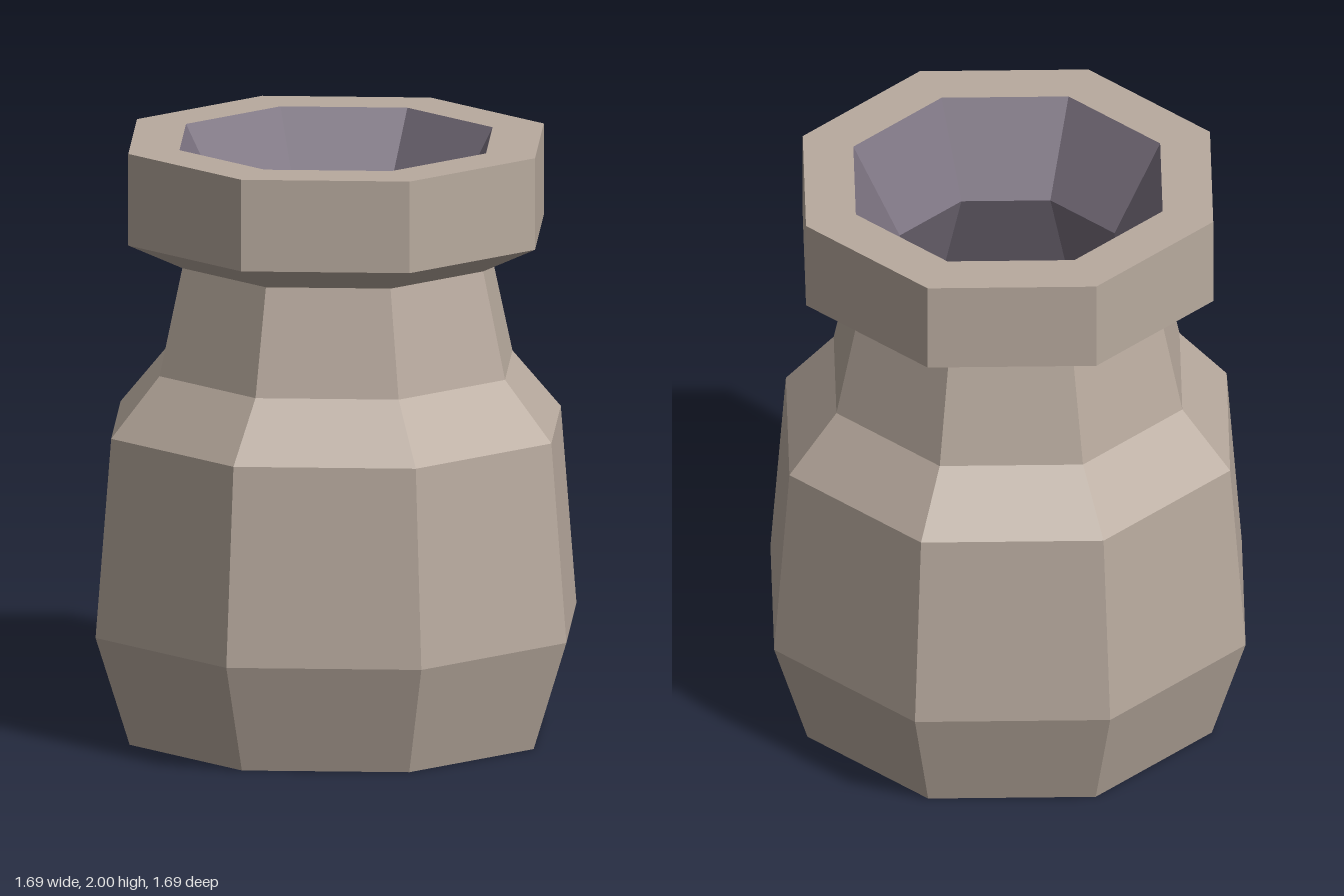
import * as THREE from 'three';

// Eight-sided ring surface from [radius, height] pairs
function ringSurface(name, profile, material) {
  const points = profile.map(([r, y]) => new THREE.Vector2(r, y));
  const mesh = new THREE.Mesh(new THREE.LatheGeometry(points, 8), material);
  mesh.name = name;
  return mesh;
}

export function createModel() {
  const clay = new THREE.MeshStandardMaterial({ color: 0xb8aa9e });
  const interior = new THREE.MeshStandardMaterial({ color: 0x7b7280 });
  clay.name = 'clay';
  interior.name = 'darkInterior';
  clay.flatShading = interior.flatShading = true;

  const jar = new THREE.Group();
  jar.name = 'jar';
  jar.add(
    // Closed base, belly, shoulder and neck
    ringSurface('body', [[0, 0], [0.725, 0], [0.845, 0.37], [0.79, 1.04], [0.62, 1.24], [0.54, 1.6]], clay),
    // Flared underside, upright band and flat top of the lip
    ringSurface('lip', [[0.54, 1.6], [0.73, 1.69], [0.73, 2], [0.55, 2]], clay),
    // Funnel mouth narrowing to the throat
    ringSurface('mouth', [[0.55, 2], [0.385, 1.69]], interior),
    // Hollow widening below the throat, down to the floor
    ringSurface('cavity', [[0.385, 1.69], [0.55, 1.3], [0.72, 1.0], [0.77, 0.4], [0.66, 0.1], [0, 0.1]], interior),
  );
  return jar;
}
